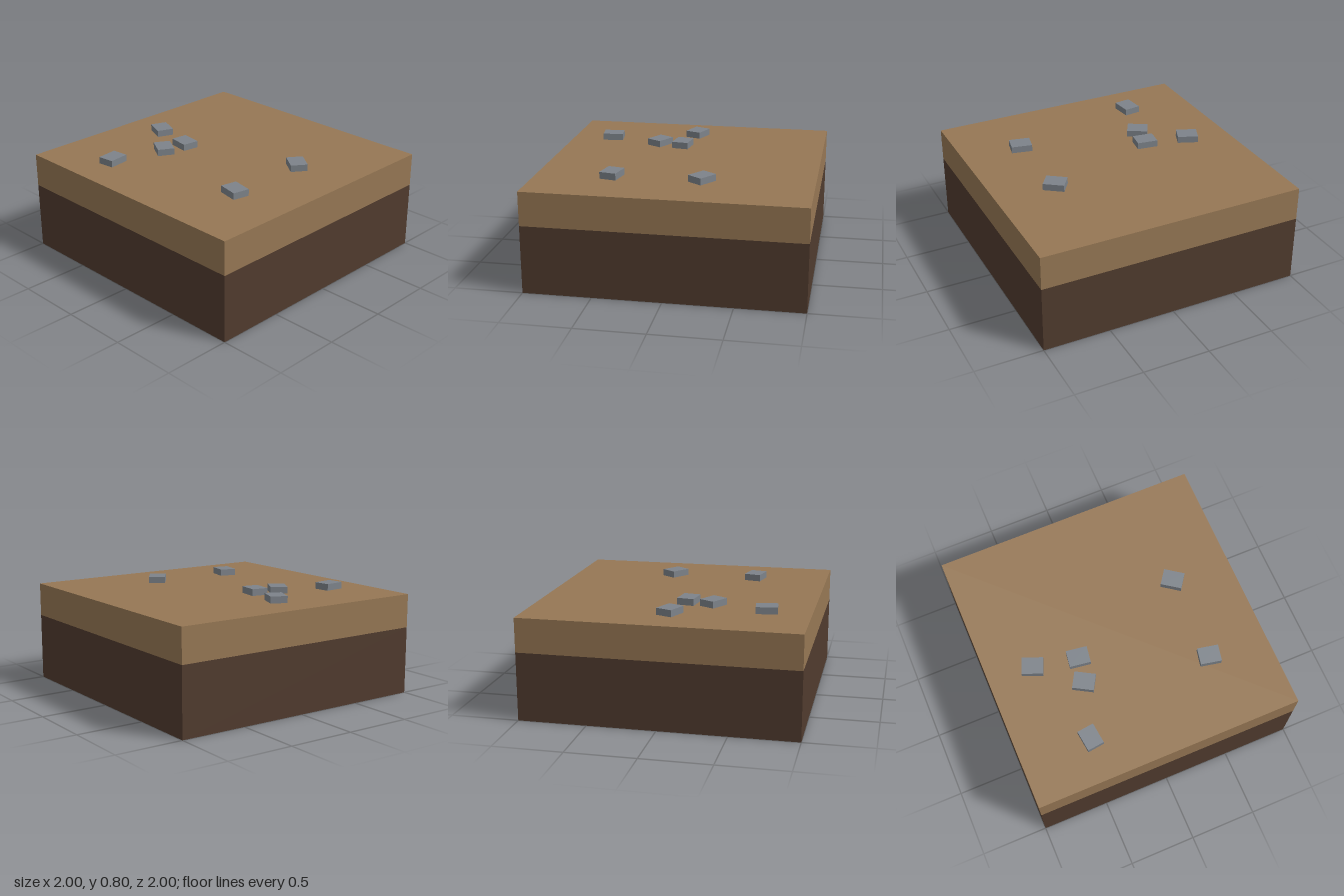
import * as THREE from 'three';

const mat = (name, color) => {
  const m = new THREE.MeshStandardMaterial({ color });
  m.name = name;
  return m;
};

export function createModel() {
  const group = new THREE.Group();
  group.name = 'groundBlock';
  const dirt = mat('dirt brown', 0x967754);
  const soil = mat('dark soil', 0x503b2e);
  const stone = mat('stone grey', 0x7d838a);

  // Box standing on the given base height
  const addBox = (name, [w, h, d], material, x, base, z, turn = 0) => {
    const mesh = new THREE.Mesh(new THREE.BoxGeometry(w, h, d), material);
    mesh.name = name;
    mesh.position.set(x, base + h / 2, z);
    mesh.rotation.y = turn;
    group.add(mesh);
  };

  // Two layers of earth
  addBox('soilLayer', [2, 0.5, 2], soil, 0, 0, 0);
  addBox('dirtLayer', [2, 0.25, 2], dirt, 0, 0.5, 0);

  // Scattered flat stones: x, z, turn about y
  const stones = [
    [-0.68, -0.48, 0.12],
    [-0.025, -0.665, 1.19],
    [-0.277, -0.365, 1.05],
    [-0.09, -0.333, 1.43],
    [-0.445, 0.548, 1.37],
    [0.205, 0.545, 0.95],
  ];
  stones.forEach(([x, z, turn], i) =>
    addBox(`stone${i + 1}`, [0.156, 0.05, 0.125], stone, x, 0.75, z, turn));

  return group;
}
